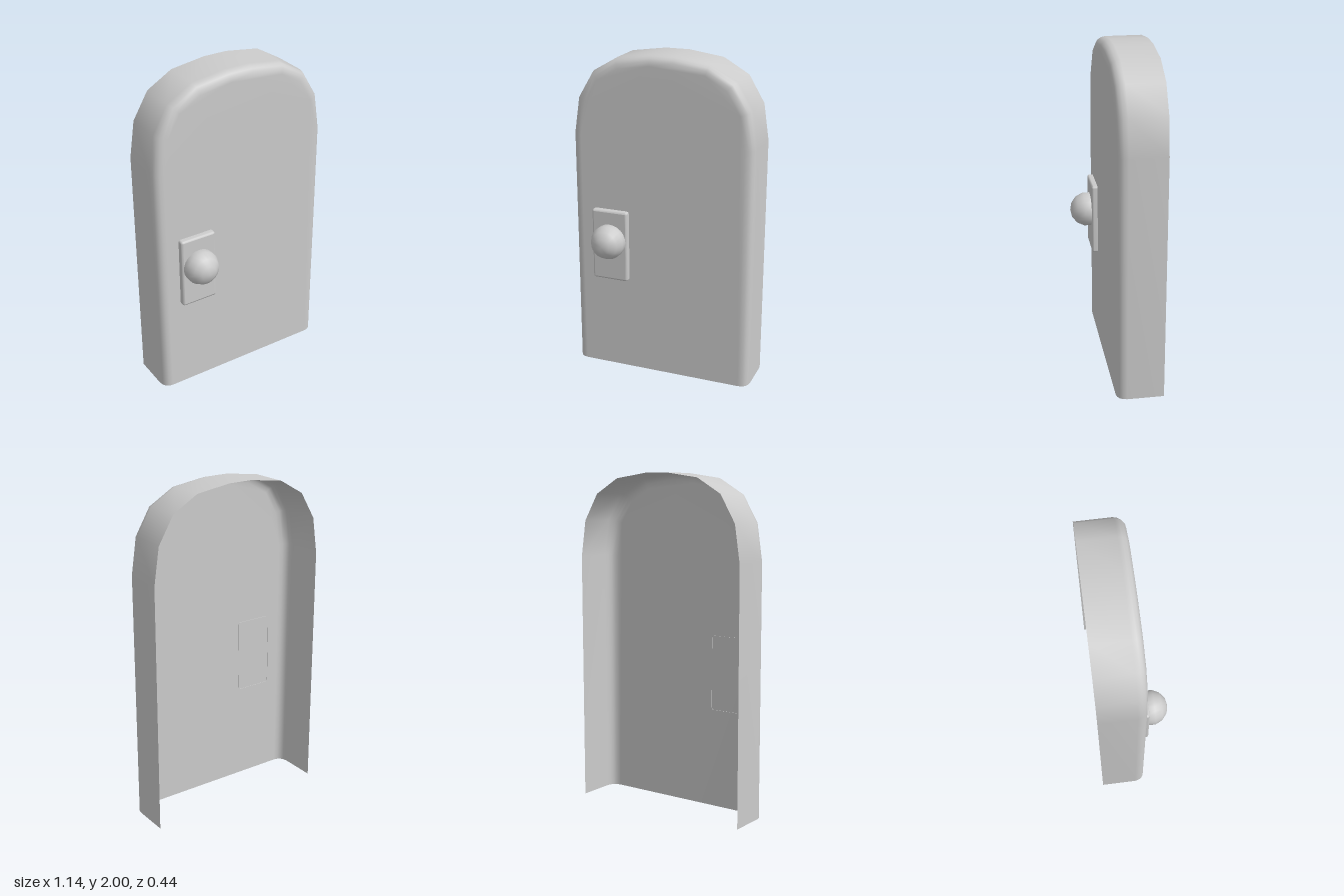
import * as THREE from 'three';

const material = new THREE.MeshStandardMaterial({ color: 0xcccccc, side: THREE.DoubleSide });

// Open-backed shell: a counter-clockwise outline swept forward through
// [inset, z] steps, then capped at the front with smooth shared normals.
function shell(name, outline, steps, closed) {
  const n = outline.length;
  const edgeNormal = (a, b) => new THREE.Vector2(b.y - a.y, a.x - b.x).normalize();
  const offsets = outline.map((p, j) => {
    if (!closed && (j === 0 || j === n - 1)) return new THREE.Vector2(Math.sign(p.x), 0);
    const n1 = edgeNormal(outline[(j + n - 1) % n], p);
    const n2 = edgeNormal(p, outline[(j + 1) % n]);
    return n1.clone().add(n2).divideScalar(1 + n1.dot(n2));
  });
  const positions = [], index = [];
  let ring;
  for (const [inset, z] of steps) {
    ring = outline.map((p, j) => p.clone().addScaledVector(offsets[j], -inset));
    ring.forEach((p) => positions.push(p.x, p.y, z));
  }
  const spans = closed ? n : n - 1;
  for (let i = 0; i < steps.length - 1; i++) {
    for (let j = 0; j < spans; j++) {
      const a = i * n + j, b = i * n + (j + 1) % n;
      index.push(a, b, b + n, a, b + n, a + n);
    }
  }
  const base = (steps.length - 1) * n;
  for (const face of THREE.ShapeUtils.triangulateShape(ring, [])) {
    index.push(...face.map((k) => base + k));
  }
  const geometry = new THREE.BufferGeometry();
  geometry.setAttribute('position', new THREE.Float32BufferAttribute(positions, 3));
  geometry.setIndex(index);
  geometry.computeVertexNormals();
  const mesh = new THREE.Mesh(geometry, material);
  mesh.name = name;
  return mesh;
}

// Rectangle with small rounded corners
function roundedRect(cx, cy, w, h, r, segments = 3) {
  const points = [];
  [[1, 1], [-1, 1], [-1, -1], [1, -1]].forEach(([sx, sy], q) => {
    for (let i = 0; i <= segments; i++) {
      const t = (q + i / segments) * Math.PI / 2;
      points.push(new THREE.Vector2(
        cx + sx * (w / 2 - r) + r * Math.cos(t),
        cy + sy * (h / 2 - r) + r * Math.sin(t)));
    }
  });
  return points;
}

export function createModel() {
  const group = new THREE.Group();
  group.name = 'door';

  // Arched door slab, open at the back and the bottom
  const half = [[0.57, 0], [0.57, 1.5], [0.537, 1.72], [0.442, 1.88], [0.287, 1.97], [0.075, 2]];
  const arch = [
    ...half.map(([x, y]) => new THREE.Vector2(x, y)),
    ...half.slice().reverse().map(([x, y]) => new THREE.Vector2(-x, y)),
  ];
  group.add(shell('doorSlab', arch,
    [[0, -0.22], [0, 0], [0.006, 0.025], [0.017, 0.043], [0.034, 0.055], [0.06, 0.06]], false));

  // Handle plate
  group.add(shell('handlePlate', roundedRect(-0.32, 0.822, 0.23, 0.45, 0.014),
    [[0, 0.057], [0, 0.084], [0.003, 0.091], [0.011, 0.095]], true));

  // Round knob, ending inside the plate
  const knobGeometry = new THREE.SphereGeometry(0.108, 24, 4, 0, Math.PI * 2, 0, Math.PI * 4 / 7);
  knobGeometry.rotateX(Math.PI / 2);
  const knob = new THREE.Mesh(knobGeometry, material);
  knob.name = 'knob';
  knob.position.set(-0.32, 0.855, 0.112);
  group.add(knob);

  return group;
}
